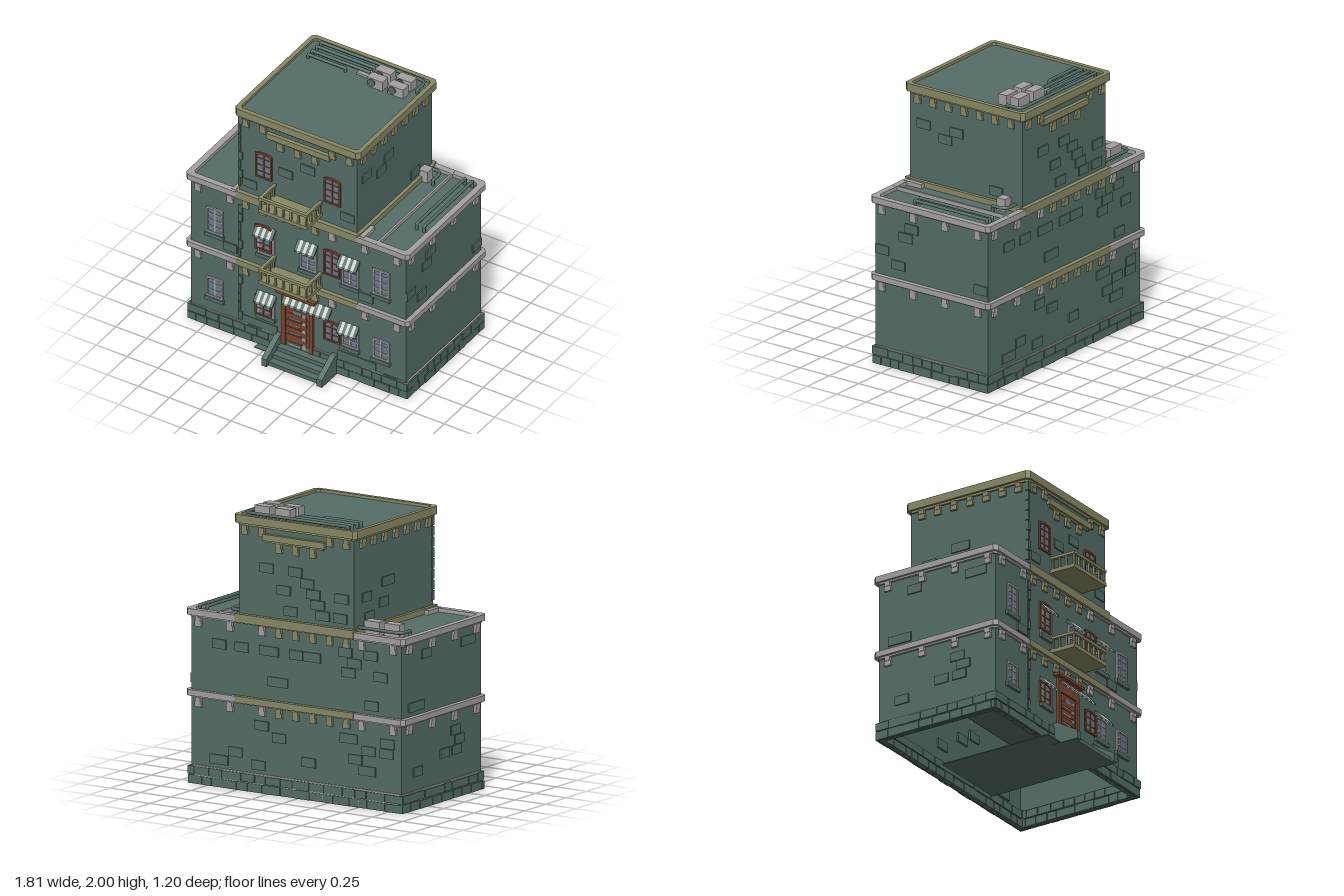
import * as THREE from 'three';

export function createModel() {
  const root = new THREE.Group();
  const mat = (name, color, side = THREE.FrontSide) => {
    const m = new THREE.MeshStandardMaterial({ color, side });
    m.name = name;
    return m;
  };
  const teal = mat('teal wall', 0x546e66, THREE.DoubleSide);
  const khaki = mat('khaki trim', 0x898965);
  const grey = mat('grey trim', 0xa4a1a1);
  const brown = mat('brown wood', 0x7c4630);
  const glass = mat('blue glass', 0x687a8d);
  const white = mat('pale stripe', 0xccd2cc);

  let seed = 7;
  const rnd = () => (seed = (seed * 16807) % 2147483647) / 2147483647;

  const add = (name, geo, m) => {
    const mesh = new THREE.Mesh(geo, m);
    mesh.name = name;
    root.add(mesh);
    return mesh;
  };
  const box = (name, m, x0, x1, y0, y1, z0, z1) => {
    const g = new THREE.BoxGeometry(x1 - x0, y1 - y0, z1 - z0);
    g.translate((x0 + x1) / 2, (y0 + y1) / 2, (z0 + z1) / 2);
    return add(name, g, m);
  };
  // Box with its underside left open
  const openBox = (...a) => {
    const g = box(...a).geometry;
    const i = Array.from(g.index.array);
    i.splice(18, 6);
    g.setIndex(i);
    g.clearGroups();
  };
  // Rectangle outline with cut corners, counterclockwise
  const trace = (p, x0, x1, z0, z1, c) => {
    const pts = [[x0, z0 + c], [x0, z1 - c], [x0 + c, z1], [x1 - c, z1],
      [x1, z1 - c], [x1, z0 + c], [x1 - c, z0], [x0 + c, z0]];
    pts.forEach(([x, z], i) => (i ? p.lineTo(x, -z) : p.moveTo(x, -z)));
    p.closePath();
    return p;
  };
  const frame = (name, m, x0, x1, z0, z1, y0, y1, w) => {
    const s = trace(new THREE.Shape(), x0, x1, z0, z1, 0.025);
    s.holes.push(trace(new THREE.Path(), x0 + w, x1 - w, z0 + w, z1 - w, 0.02));
    const g = new THREE.ExtrudeGeometry(s, { depth: y1 - y0, bevelEnabled: false });
    g.rotateX(-Math.PI / 2);
    g.translate(0, y0, 0);
    add(name, g, m);
  };

  const F = 0.39, B = -0.57, W = 0.87, T = 0.475;

  // Walls and roofs, hollow underneath
  openBox('lowerWalls', teal, -W, W, 0.01, 1.21, B, F);
  openBox('towerWalls', teal, -T, T, 1.2, 1.925, B, F);
  box('storeyFloor', teal, -W + 0.01, W - 0.01, 0.6, 0.62, B + 0.01, F - 0.01);
  box('groundPlate', teal, -0.32, 0.3, 0.008, 0.014, -0.42, 0.45);

  // Cornices: a tall band over a thin recessed step
  const cornice = (name, m, x, y0, y1, w) => {
    const mid = y0 + (y1 - y0) * 0.22;
    frame(name + 'Lower', m, -x + 0.018, x - 0.018, B - 0.014, F + 0.013, y0, mid, 0.017);
    frame(name, m, -x, x, B - 0.03, F + 0.028, mid, y1, w);
  };
  cornice('middleCornice', grey, 0.905, 0.617, 0.67, 0.045);
  cornice('lowerRoofCornice', grey, 0.905, 1.18, 1.237, 0.045);
  cornice('towerCornice', khaki, 0.507, 1.872, 1.945, 0.033);
  for (const [y0, y1] of [[0.627, 0.673], [1.19, 1.25]])
    for (const [z0, z1] of [[F, F + 0.031], [B - 0.033, B]])
      box('khakiBand', khaki, -0.49, 0.49, y0, y1, z0, z1);
  for (const s of [-1, 1]) {
    box('towerFootBand', khaki, s * 0.485 - 0.015, s * 0.485 + 0.015, 1.2, 1.25, B, F);
    box('roofReturn', grey, s * 0.515 - 0.018, s * 0.515 + 0.018, 1.2, 1.24, 0.25, 0.4);
  }
  box('roofDivider', grey, 0.635, 0.65, 1.2, 1.238, B - 0.02, F + 0.02);

  // Block on a wall, d proud of it and i sunk in; side is front, back, left or right
  const onFace = (name, m, side, u, w, y0, y1, d, xf, i = 0) => {
    if (side === 'front') box(name, m, u - w / 2, u + w / 2, y0, y1, F - i, F + d);
    else if (side === 'back') box(name, m, u - w / 2, u + w / 2, y0, y1, B - d, B + i);
    else if (side === 'left') box(name, m, xf - i, xf + d, y0, y1, u - w / 2, u + w / 2);
    else box(name, m, -xf - d, -xf + i, y0, y1, u - w / 2, u + w / 2);
  };
  // Brackets: a narrow neck over a wider foot
  const bracket = (m, side, u, top, xf) => {
    onFace('bracketNeck', m, side, u, 0.044, top - 0.03, top, 0.022, xf);
    onFace('bracketFoot', m, side, u, 0.052, top - 0.066, top - 0.03, 0.018, xf);
  };
  for (const top of [0.619, 1.182]) {
    for (const side of ['front', 'back']) {
      for (const u of [-0.805, -0.545, 0.28, 0.545, 0.805]) bracket(grey, side, u, top, W);
      for (const u of [-0.42, -0.28, -0.14, 0, 0.14]) bracket(khaki, side, u, top, W);
    }
    for (const side of ['left', 'right'])
      for (const u of [0.33, 0.06, -0.21, -0.49]) bracket(grey, side, u, top, W);
  }
  for (const side of ['left', 'right'])
    for (let i = 0; i < 7; i++) bracket(khaki, side, 0.32 - i * 0.1325, 1.874, T);
  for (const side of ['front', 'back']) {
    for (const u of [-0.42, -0.28, 0.28, 0.42]) bracket(khaki, side, u, 1.874, T);
    onFace('shortCornice', khaki, side, 0.01, 0.51, 1.788, 1.832, 0.028, T);
    onFace('shortCorniceLower', khaki, side, 0.01, 0.48, 1.775, 1.788, 0.015, T);
    for (const u of [-0.14, 0, 0.14]) bracket(khaki, side, u, 1.776, T);
  }

  // Plinth: two rows of blocks through a mortar core
  frame('mortar', grey, -W - 0.012, W + 0.012, B - 0.008, F + 0.006, 0.02, 0.143, 0.03);
  const plinthRow = (side, from, to, xf) => {
    for (let r = 0; r < 2; r++) {
      let u = from;
      while (u < to - 0.01) {
        const e = Math.min(to, u + 0.07 + rnd() * 0.09);
        onFace('plinthBlock', teal, side, (u + e) / 2, e - u - 0.005,
          0.012 + r * 0.065, 0.073 + r * 0.063 - rnd() * 0.005, 0.012 + rnd() * 0.006, xf, 0.035);
        u = e;
      }
    }
  };
  for (const side of ['front', 'back']) plinthRow(side, -0.89, 0.89, W);
  for (const side of ['left', 'right']) plinthRow(side, B - 0.015, F + 0.01, W + 0.006);
  box('plinthPanel', teal, 0.32, 0.63, 0.14, 0.205, F, F + 0.007);
  box('plinthPanel', teal, -0.45, -0.17, 0.14, 0.205, F, F + 0.005);

  // Loose wall bricks, showing on both faces of the wall
  const brick = (side, u, y, xf) => onFace('wallBrick', teal, side, u, 0.112, y, y + 0.066, 0.009, xf, 0.015);
  const scatter = (side, n, from, to, y0, y1, xf) => {
    for (let i = 0; i < n; i++)
      brick(side, from + rnd() * (to - from), y0 + Math.floor(rnd() * ((y1 - y0) / 0.07)) * 0.07, xf);
  };
  for (const [y0, y1] of [[0.17, 0.52], [0.7, 1.1]]) {
    scatter('back', 15, -0.78, 0.78, y0, y1, W);
    scatter('right', 5, -0.48, 0.3, y0, y1, W);
  }
  scatter('back', 10, -0.4, 0.4, 1.28, 1.7, T);
  for (const side of ['left', 'right']) scatter(side, 5, -0.48, 0.3, 1.28, 1.78, T);
  for (const [z, y] of [[0.08, 1.025], [0.13, 0.95], [0.33, 0.82], [0.19, 0.735], [-0.51, 0.715]])
    brick('left', z, y, W);
  for (const [x, y] of [[-0.35, 0.08], [0.75, 0.08], [-0.55, 0.7], [0.55, 0.7], [-0.1, 1.5], [0.08, 1.6], [-0.39, 1.3], [0.4, 1.32]])
    brick('front', x, y, W);

  // Column of stones up the front
  for (let y = 0.16; y < 1.83; y += 0.075) {
    if ((y > 0.55 && y < 0.68) || (y > 1.12 && y < 1.25)) continue;
    box('dividerStone', teal, -0.481, rnd() < 0.5 ? -0.465 : -0.45, y, y + 0.065, F - 0.02, F + 0.01);
  }

  // Windows: glass, framed panes, optional arched head and sill
  const win = (m, x0, y0, y1, arch, z = F) => {
    const w = 0.135, h = y1 - y0, s = new THREE.Shape(), t = 0.014;
    const outline = (p, i) => {
      p.moveTo(i, i);
      p.lineTo(w - i, i);
      p.lineTo(w - i, h - i - arch);
      p.quadraticCurveTo(w / 2, h - i + arch, i, h - i - arch);
      p.closePath();
      return p;
    };
    outline(s, 0);
    s.holes.push(outline(new THREE.Path(), t));
    add('windowFrame', new THREE.ExtrudeGeometry(s, { depth: 0.012, bevelEnabled: false, curveSegments: 6 }), m)
      .position.set(x0, y0, z);
    add('windowGlass', new THREE.ShapeGeometry(outline(new THREE.Shape(), 0.005), 6), glass)
      .position.set(x0, y0, z + 0.004);
    box('windowMullion', m, x0 + w / 2 - 0.006, x0 + w / 2 + 0.006, y0 + t, y1 - t, z, z + 0.009);
    const rows = h > 0.19 ? 4 : 3;
    for (let i = 1; i < rows; i++) {
      const y = y0 + (h * i) / rows;
      box('windowBar', m, x0 + t, x0 + w - t, y - 0.004, y + 0.004, z, z + 0.008);
    }
    if (m === grey) box('windowSill', teal, x0 - 0.008, x0 + w + 0.008, y0 - 0.03, y0, z, z + 0.02);
  };
  for (const x of [-0.345, 0.21]) {
    win(brown, x, 1.42, 1.635, 0.012);
    win(brown, x, 0.815, 1.03, 0.012, F + 0.006);
    win(brown, x, 0.26, 0.43, 0.01, F + 0.006);
  }
  for (const x of [-0.74, 0.605]) {
    win(grey, x, 0.8, 1.015, 0.004);
    win(grey, x, 0.26, 0.425, 0.004);
  }
  for (const x of [-0.325, 0.015, 0.355]) win(grey, x, 0.785, 0.99, 0.002);
  for (const x of [-0.325, 0.355]) win(grey, x, 0.265, 0.43, 0.002);

  // Striped awnings
  const awning = (x0, x1, top, n) => {
    const s = new THREE.Shape([[0, 0], [-0.055, -0.064], [-0.055, -0.078], [0, -0.03]]
      .map(([a, b]) => new THREE.Vector2(a, b)));
    const w = (x1 - x0) / n;
    for (let i = 0; i < n; i++) {
      const g = new THREE.ExtrudeGeometry(s, { depth: w, bevelEnabled: false });
      g.rotateY(Math.PI / 2);
      add('awningStripe', g, i % 2 ? white : teal).position.set(x0 + i * w, top, F + 0.004);
    }
  };
  for (const x of [-0.34, 0.0, 0.34]) awning(x, x + 0.16, 1.022, 7);
  for (const x of [-0.33, 0.34]) awning(x, x + 0.155, 0.462, 7);
  awning(-0.105, 0.275, 0.535, 15);

  // Door
  for (const x of [-0.125, 0.098]) box('doorJamb', brown, x, x + 0.03, 0.09, 0.51, F, F + 0.022);
  box('doorHead', brown, -0.125, 0.128, 0.43, 0.53, F, F + 0.02);
  box('doorLintel', brown, -0.16, 0.155, 0.53, 0.55, F, F + 0.045);
  box('doorLeaf', brown, -0.1, 0.1, 0.09, 0.43, F, F + 0.01);
  box('doorWindow', glass, -0.035, 0.035, 0.37, 0.405, F, F + 0.014);
  for (const y of [0.16, 0.22, 0.28, 0.34]) box('doorRail', brown, -0.08, 0.075, y, y + 0.035, F, F + 0.016);
  for (const y of [0.18, 0.245, 0.31, 0.375]) box('doorHinge', grey, 0.04, 0.068, y, y + 0.026, F, F + 0.019);
  box('doorHandle', grey, 0.045, 0.068, 0.105, 0.15, F, F + 0.019);
  for (const y of [0.11, 0.205, 0.275, 0.325]) box('doorStrip', grey, -0.07, 0.03, y, y + 0.011, F, F + 0.018);

  // Steps and sloping side walls
  for (let i = 0; i < 3; i++)
    box('step', teal, -0.13, 0.28, 0.005, 0.095 - i * 0.03, F, 0.46 + i * 0.055);
  const cheek = new THREE.Shape([[-0.39, 0.005], [-0.595, 0.005], [-0.595, 0.065], [-0.43, 0.165], [-0.39, 0.165]]
    .map(([a, b]) => new THREE.Vector2(a, b)));
  for (const x of [-0.17, 0.278]) {
    const g = new THREE.ExtrudeGeometry(cheek, { depth: 0.042, bevelEnabled: false });
    g.rotateY(Math.PI / 2);
    add('stepSideWall', g, teal).position.x = x;
  }

  // Balconies
  for (const y of [0.683, 1.287]) {
    const t = 0.024, x0 = -0.2, x1 = 0.195, z1 = 0.59, h = 0.123;
    box('balconyFloor', khaki, x0, x1, y, y + 0.028, F, z1);
    box('balconyRail', khaki, x0, x1, y + h - 0.02, y + h, z1 - t, z1);
    for (const x of [x0, x1 - t]) {
      box('balconyRail', khaki, x, x + t, y + h - 0.02, y + h, F, z1);
      for (const z of [0.40, 0.455, 0.51]) box('balconyPost', khaki, x + 0.005, x + 0.019, y, y + h - 0.01, z, z + 0.013);
    }
    for (let i = 0; i < 7; i++) {
      const x = x0 + 0.004 + (i * (x1 - x0 - 0.023)) / 6;
      box('balconyPost', khaki, x, x + 0.015, y, y + h - 0.01, z1 - 0.019, z1 - 0.005);
    }
  }

  // Rooftop cooling units with round fans
  const unit = (x0, z0, y0, y1, fan) => {
    box('coolingUnit', grey, x0, x0 + 0.125, y0, y1, z0, z0 + 0.072);
    if (!fan) return;
    const g = new THREE.CylinderGeometry(0.03, 0.03, 0.012, 16);
    g.rotateX(Math.PI / 2);
    add('coolingFan', g, teal).position.set(x0 + fan, (y0 + y1) / 2 + 0.004, z0 + 0.074);
  };
  for (const x of [0.112, 0.28]) for (const z of [-0.485, -0.382]) unit(x, z, 1.925, 2, 0.036);
  unit(-0.018, -0.455, 1.9, 1.942, 0);
  for (const x of [-0.785, -0.62]) unit(x, -0.475, 1.21, 1.302, 0.095);
  unit(0.42, -0.472, 1.21, 1.302, 0);

  // Rooftop pipes
  const pipe = (y, ...pts) => {
    const path = new THREE.CurvePath(), v = pts.map(([x, z]) => new THREE.Vector3(x, y, z));
    if (v.length === 2) path.add(new THREE.LineCurve3(v[0], v[1]));
    else {
      const a = v[1].clone().lerp(v[0], 0.05 / v[1].distanceTo(v[0]));
      const b = v[1].clone().lerp(v[2], 0.05 / v[1].distanceTo(v[2]));
      path.add(new THREE.LineCurve3(v[0], a));
      path.add(new THREE.QuadraticBezierCurve3(a, v[1], b));
      path.add(new THREE.LineCurve3(b, v[2]));
    }
    add('roofPipe', new THREE.TubeGeometry(path, 40, 0.012, 8), teal);
    for (const p of [v[0], v[v.length - 1]]) {
      add('pipeFoot', new THREE.CylinderGeometry(0.012, 0.012, 0.05, 8), teal).position.set(p.x, y - 0.025, p.z);
      add('pipeElbow', new THREE.SphereGeometry(0.012, 8, 6), teal).position.copy(p);
    }
  };
  pipe(1.953, [-0.4, -0.535], [0.45, -0.535], [0.45, -0.42]);
  pipe(1.953, [-0.4, -0.48], [0.06, -0.48]);
  pipe(1.953, [-0.4, -0.42], [0.06, -0.42]);
  pipe(1.953, [-0.4, -0.37], [-0.1, -0.37]);
  pipe(1.255, [-0.825, -0.4], [-0.825, -0.51], [-0.48, -0.51]);
  pipe(1.255, [0.59, -0.4], [0.59, -0.51], [0.48, -0.51]);
  for (const x of [0.765, 0.825]) pipe(1.255, [x, -0.53], [x, 0.085]);

  return root;
}
